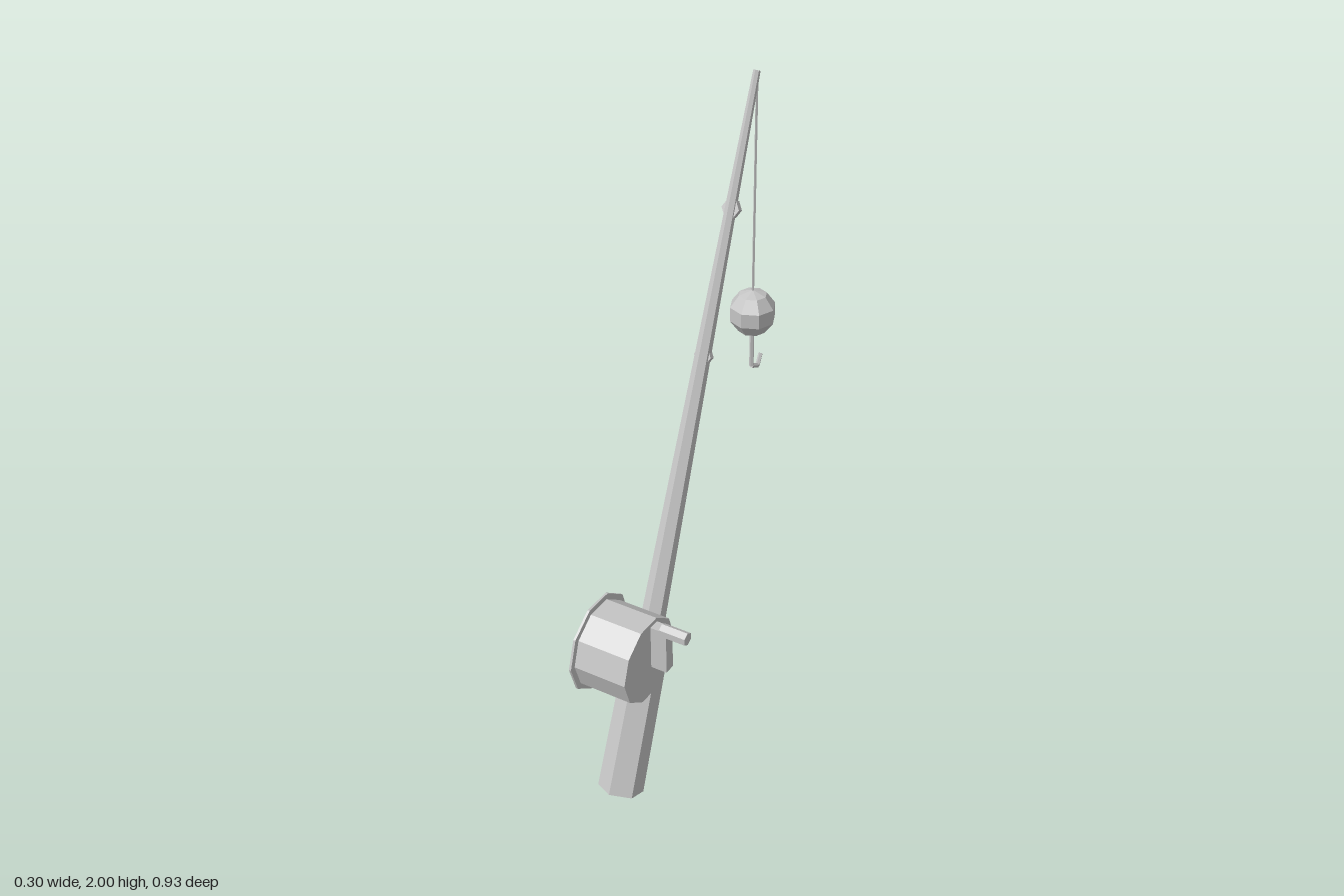
import * as THREE from 'three';

const X = -0.06; // rod plane
const TILT = -0.369;

export function createModel() {
  const model = new THREE.Group();
  model.name = 'fishingRod';
  const grey = new THREE.MeshStandardMaterial({ color: 0xc4c4c4, flatShading: true });
  grey.name = 'light grey';

  function add(parent, name, geometry, x = 0, y = 0, z = 0) {
    const mesh = new THREE.Mesh(geometry, grey);
    mesh.name = name;
    mesh.position.set(x, y, z);
    parent.add(mesh);
    return mesh;
  }

  // Tapered bar standing on the local y axis between two heights
  function taper(parent, name, y0, y1, r0, r1, sides) {
    return add(parent, name, new THREE.CylinderGeometry(r1, r0, y1 - y0, sides), 0, (y0 + y1) / 2, 0);
  }

  // Straight bar between two points
  function bar(parent, name, a, b, r, sides) {
    const dir = b.clone().sub(a);
    const mesh = add(parent, name, new THREE.CylinderGeometry(r, r, dir.length(), sides));
    mesh.position.copy(a).add(b).multiplyScalar(0.5);
    mesh.quaternion.setFromUnitVectors(new THREE.Vector3(0, 1, 0), dir.normalize());
  }

  // Leaning pole: grip, flared collar and tapering shaft
  const pole = new THREE.Group();
  pole.name = 'pole';
  pole.position.set(X, 0.0245, 0.365);
  pole.rotation.x = TILT;
  model.add(pole);
  taper(pole, 'grip', 0, 0.45, 0.068, 0.062, 6);
  taper(pole, 'collar', 0.445, 0.485, 0.077, 0.042, 6);
  taper(pole, 'shaft', 0.47, 2.112, 0.037, 0.01, 6);

  // Line guides set into the shaft
  for (const t of [0.917, 1.33, 1.742]) {
    const guide = add(pole, 'lineGuide', new THREE.CylinderGeometry(0.027, 0.027, 0.018, 6), 0, t, -0.006);
    guide.rotation.set(Math.PI / 2, Math.PI / 6, 0);
  }

  // Reel drum with a wider flange on its right side
  const reel = new THREE.Group();
  reel.name = 'reel';
  reel.position.set(0, 0.52, 0.319);
  model.add(reel);
  const disc = (name, r, x0, x1, sides) => {
    const g = new THREE.CylinderGeometry(r, r, x1 - x0, sides).rotateZ(Math.PI / 2);
    return add(reel, name, g, (x0 + x1) / 2, 0, 0);
  };
  disc('drum', 0.131, -0.145, 0.022, 10);
  disc('flange', 0.149, -0.15, -0.143, 10);

  // Crank arm and knob
  add(reel, 'crankArm', new THREE.BoxGeometry(0.05, 0.14, 0.034), 0.063, 0.066, 0);
  const knob = disc('crankKnob', 0.02, 0.065, 0.147, 6);
  knob.position.y = 0.129;
  knob.rotation.x = Math.PI / 6;

  // Hanging line, float and hook
  const tackle = new THREE.Group();
  tackle.name = 'tackle';
  tackle.position.set(X, 0, -0.399);
  model.add(tackle);
  taper(tackle, 'line', 1.3, 1.99, 0.004, 0.004, 4);
  add(tackle, 'float', new THREE.SphereGeometry(0.071, 8, 5), 0, 1.27, 0);
  const hook = [[1.22, 0], [1.09, 0], [1.072, -0.038], [1.105, -0.056]]
    .map(([y, z]) => new THREE.Vector3(0, y, z));
  for (let i = 0; i < 3; i++) bar(tackle, 'hook', hook[i], hook[i + 1], 0.007, 5);

  return model;
}
